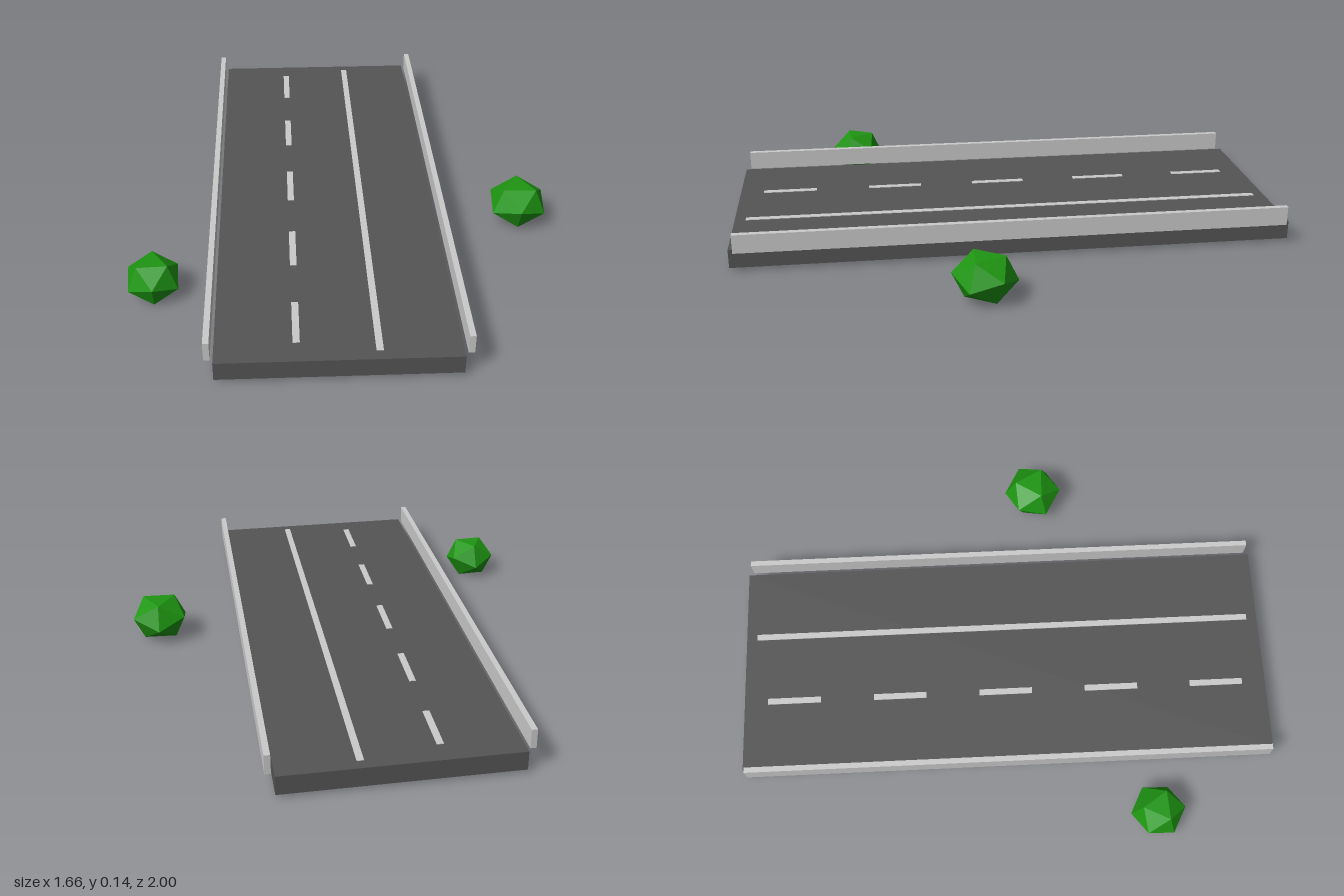
import * as THREE from 'three';
import { ConvexGeometry } from 'three/addons/geometries/ConvexGeometry.js';

const material = (color) => new THREE.MeshStandardMaterial({ color, flatShading: true });

export function createModel() {
  const model = new THREE.Group();
  model.name = 'roadSection';
  const asphalt = material(0x555555);
  const pale = material(0xcccccc);
  const leaf = material(0x1e9612);

  // Everything on the road shares its 30 degree turn
  const road = new THREE.Group();
  road.name = 'road';
  road.position.x = 0.02;
  road.rotation.y = -Math.PI / 6;
  model.add(road);

  const box = (name, mat, w, h, l, x, y, z = 0) => {
    const mesh = new THREE.Mesh(new THREE.BoxGeometry(w, h, l), mat);
    mesh.name = name;
    mesh.position.set(x, y, z);
    road.add(mesh);
  };

  box('roadSlab', asphalt, 0.75, 0.063, 1.875, 0, 0.0415);

  // Guard rails stand just outside the slab edges
  for (const side of [-1, 1]) {
    box(side > 0 ? 'leftRail' : 'rightRail', pale, 0.019, 0.064, 1.84, side * 0.393, 0.104);
  }

  // Lane markings: one solid line and five dashes
  box('solidLine', pale, 0.022, 0.004, 1.8, 0.122, 0.073);
  for (let i = -2; i <= 2; i++) {
    box('laneDash', pale, 0.022, 0.004, 0.19, -0.127, 0.073, i * 0.38);
  }

  // Bush: a squashed icosahedron resting on one face
  const bush = (name, x, y, z, radius, halfHeight, turn) => {
    const points = [];
    for (let k = 0; k < 3; k++) {
      for (const [r, h, offset] of [[0.607, 0.795, 0], [0.982, 0.188, 60]]) {
        const a = THREE.MathUtils.degToRad(turn + offset + k * 120);
        const p = new THREE.Vector3(
          r * radius * Math.cos(a), (h / 0.795) * halfHeight, r * radius * Math.sin(a));
        points.push(p, p.clone().negate());
      }
    }
    const mesh = new THREE.Mesh(new ConvexGeometry(points), leaf);
    mesh.name = name;
    mesh.position.set(x, y, z);
    model.add(mesh);
  };
  bush('leftBush', 0.537, 0.078, 0.46, 0.106, 0.067, 63);
  bush('rightBush', -0.74, 0.065, 0.15, 0.095, 0.065, 57);

  return model;
}
